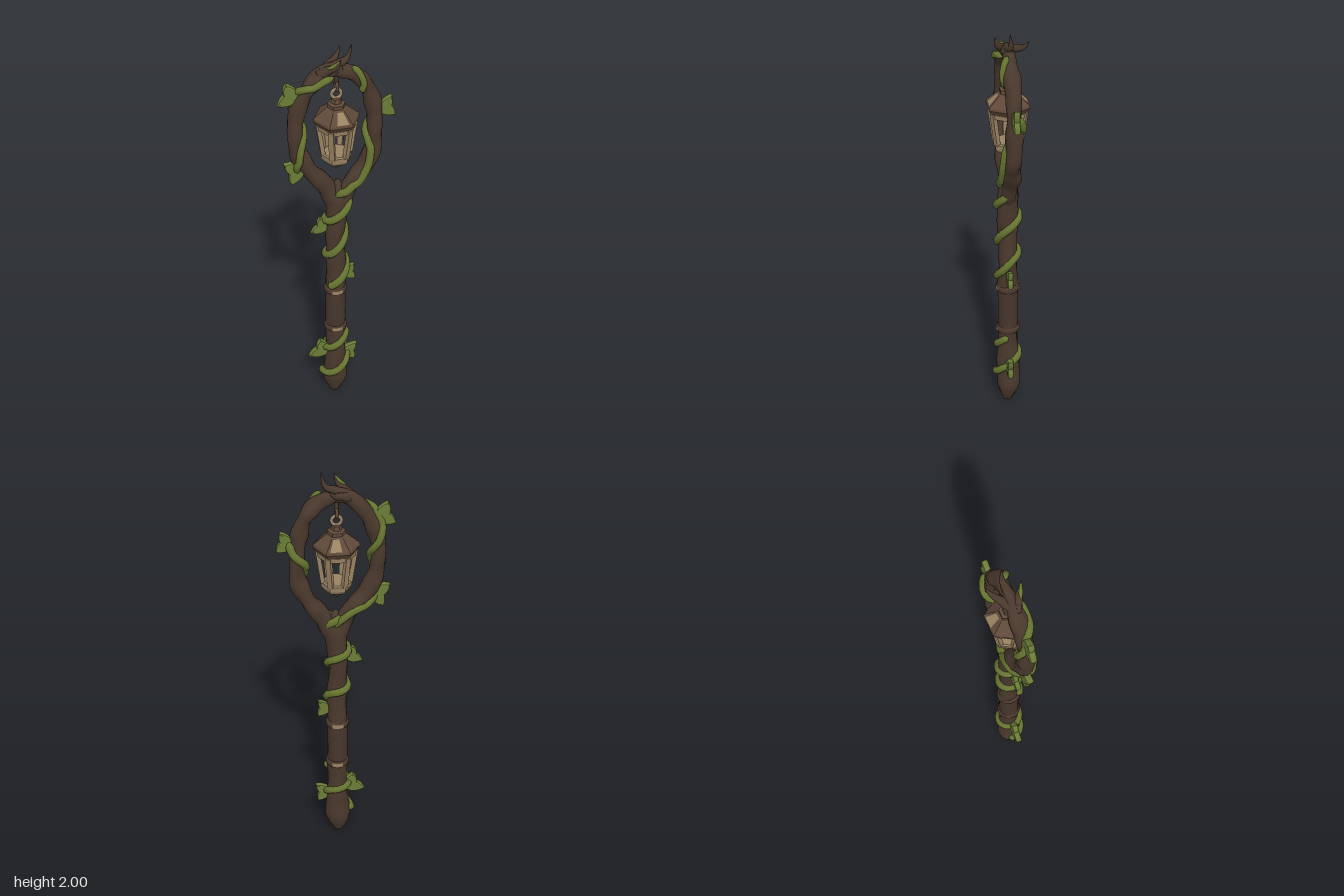
import * as THREE from 'three';

const mat = (name, color, side = THREE.FrontSide) => {
  const m = new THREE.MeshStandardMaterial({ color, side });
  m.name = name;
  return m;
};
const TURN = Math.PI * 2;

// Smooth path through knots [x, y, z, radius]
function makePath(knots) {
  const pos = new THREE.CatmullRomCurve3(knots.map(k => new THREE.Vector3(k[0], k[1], k[2])), false, 'catmullrom');
  const rad = new THREE.CatmullRomCurve3(knots.map(k => new THREE.Vector3(k[3], 0, 0)), false, 'catmullrom');
  return {
    at(t) {
      const p = pos.getPoint(t), T = pos.getTangent(t);
      const N = new THREE.Vector3().crossVectors(T, new THREE.Vector3(0, 0, 1)).normalize();
      const B = new THREE.Vector3().crossVectors(N, T);
      return { p, N, B, r: Math.max(rad.getPoint(t).x, 0.001) };
    },
  };
}

// Tapered tube along a path, with optional knotty ridges and closed ends
function sweep(path, sides, segs, knotty = 0) {
  const verts = [], index = [];
  for (let i = -1; i <= segs + 1; i++) {
    const t = Math.min(Math.max(i / segs, 0), 1);
    const { p, N, B, r } = path.at(t);
    const end = i < 0 || i > segs;
    for (let j = 0; j < sides; j++) {
      const a = (j / sides) * TURN;
      const k = end ? 0 : r * (1 + knotty * Math.sin(2 * a + t * 22) + knotty * 0.6 * Math.sin(t * 41));
      const v = p.clone().addScaledVector(N, Math.cos(a) * k).addScaledVector(B, Math.sin(a) * k);
      verts.push(v.x, v.y, v.z);
    }
  }
  for (let i = 0; i < segs + 2; i++) {
    for (let j = 0; j < sides; j++) {
      const n = (j + 1) % sides, a = i * sides + j, b = i * sides + n;
      index.push(a, a + sides, b, b, a + sides, b + sides);
    }
  }
  const g = new THREE.BufferGeometry();
  g.setAttribute('position', new THREE.Float32BufferAttribute(verts, 3));
  g.setIndex(index);
  g.computeVertexNormals();
  return g;
}

// Vine hugging a host path through stops [t, angle]; angle 0 is the front, a quarter turn is +x
function vine(host, stops, thick) {
  const knots = [];
  stops.forEach(([t, a], i) => {
    const [t1, a1] = stops[i + 1] ?? [t, a];
    const steps = i + 1 < stops.length ? Math.ceil(Math.abs(a1 - a) / 0.5) + 1 : 1;
    for (let s = 0; s < steps; s++) {
      const u = s / steps, angle = a + (a1 - a) * u;
      const { p, N, B, r } = host.at(t + (t1 - t) * u);
      p.addScaledVector(N, Math.sin(angle) * (r + 0.003)).addScaledVector(B, Math.cos(angle) * (r + 0.003));
      knots.push([p.x, p.y, p.z, thick]);
    }
  });
  knots[0][3] = knots[knots.length - 1][3] = thick * 0.4;
  return sweep(makePath(knots), 7, knots.length * 4);
}

// Stops for a helix on the shaft: steep over the front and +x side, flatter behind
function helix(frontY, pitch, a0, a1) {
  const stops = [];
  for (let a = a0; a <= a1; a += 0.4) {
    stops.push([(frontY + pitch * (a + 0.8 * Math.sin(a - Math.PI / 4) + 0.566) / TURN) / 1.3, a]);
  }
  return stops;
}

// Plump two-lobed leaf growing along +y from its base
function leafGeometry() {
  const s = new THREE.Shape();
  s.moveTo(-0.01, 0);
  s.quadraticCurveTo(-0.042, 0.015, -0.048, 0.066);
  s.quadraticCurveTo(-0.022, 0.066, 0, 0.05);
  s.quadraticCurveTo(0.02, 0.066, 0.048, 0.06);
  s.quadraticCurveTo(0.042, 0.015, 0.01, 0);
  s.closePath();
  const g = new THREE.ExtrudeGeometry(s, {
    depth: 0.01, bevelThickness: 0.012, bevelSize: 0.008, bevelSegments: 2, curveSegments: 5,
  });
  return g.translate(0, 0, -0.005);
}

// Six-sided faceted turning with corners on the x axis
function hexLathe(points) {
  const g = new THREE.LatheGeometry(points.map(p => new THREE.Vector2(p[0], p[1])), 6).rotateY(Math.PI / 6).toNonIndexed();
  g.computeVertexNormals();
  return g;
}

export function createModel() {
  const bark = mat('bark', 0x4a392d);
  const grip = mat('grip wood', 0x45362d);
  const green = mat('vine green', 0x667430);
  const leafGreen = mat('leaf green', 0x6a7c37);
  const bronze = mat('dark bronze', 0x5f4939);
  const brass = mat('worn brass', 0x998262, THREE.DoubleSide);

  const root = new THREE.Group();
  root.name = 'lanternStaff';
  const add = (name, geo, material, parent = root) => {
    const m = new THREE.Mesh(geo, material);
    m.name = name;
    parent.add(m);
    return m;
  };

  // Shaft, one knot for every 0.1 of height
  const shaft = makePath([
    [-0.015, 0, 0, 0.024], [-0.012, 0.1, -0.004, 0.06], [-0.01, 0.2, -0.002, 0.056], [-0.01, 0.3, 0, 0.05],
    [-0.01, 0.4, 0, 0.049], [-0.01, 0.5, 0, 0.045], [-0.01, 0.6, 0, 0.045], [-0.01, 0.7, 0, 0.049],
    [-0.006, 0.8, 0, 0.046], [-0.01, 0.9, 0, 0.045], [-0.014, 1.0, 0, 0.047], [-0.006, 1.1, 0, 0.049],
    [0, 1.2, 0, 0.05], [0, 1.3, 0, 0.012],
  ]);
  add('shaft', sweep(shaft, 12, 70, 0.06), bark);

  // Grip with a collar at each end
  add('grip', new THREE.CylinderGeometry(0.049, 0.049, 0.23, 14, 1, true).translate(-0.01, 0.555, 0), grip);
  for (const y of [0.435, 0.67]) {
    const ring = [[0.044, -0.024], [0.055, -0.012], [0.058, 0], [0.055, 0.012], [0.044, 0.024]];
    add('collar', new THREE.LatheGeometry(ring.map(p => new THREE.Vector2(p[0], p[1])), 14).translate(-0.01, y, 0), bark);
    for (const start of [-0.5, Math.PI - 0.5]) {
      add('collarPlate', new THREE.CylinderGeometry(0.059, 0.059, 0.022, 6, 1, true, start, 0.9).translate(-0.01, y + 0.004, 0), brass);
    }
  }

  // Two branches bending into the loop
  const leftLoop = makePath([
    [0, 1.15, 0, 0.04], [0.06, 1.27, 0, 0.043], [0.125, 1.36, 0, 0.04], [0.168, 1.46, 0, 0.038],
    [0.172, 1.57, 0, 0.036], [0.165, 1.68, 0, 0.036], [0.135, 1.78, 0, 0.036], [0.08, 1.85, 0, 0.036], [-0.01, 1.89, 0, 0.026],
  ]);
  const rightLoop = makePath([
    [0, 1.15, 0, 0.04], [-0.055, 1.28, 0, 0.043], [-0.125, 1.37, 0, 0.041], [-0.178, 1.47, 0, 0.038],
    [-0.195, 1.58, 0, 0.036], [-0.182, 1.7, 0, 0.037], [-0.135, 1.8, 0, 0.038], [-0.06, 1.875, 0, 0.036], [0.02, 1.895, 0, 0.024],
  ]);
  add('leftLoopBranch', sweep(leftLoop, 10, 48, 0.11), bark);
  add('rightLoopBranch', sweep(rightLoop, 10, 48, 0.11), bark);

  // Bare twigs at the crown, with a sprout lying on the front one
  const twigs = [
    [[-0.07, 1.875, 0, 0.03], [0, 1.91, 0, 0.022], [0.045, 1.935, -0.005, 0.013], [0.062, 1.998, 0, 0.002]],
    [[-0.07, 1.875, 0, 0.028], [-0.02, 1.9, -0.04, 0.018], [0.01, 1.915, -0.066, 0.012], [0.035, 1.95, -0.087, 0.002]],
    [[-0.08, 1.87, 0, 0.028], [-0.04, 1.905, 0.03, 0.018], [-0.015, 1.925, 0.048, 0.012], [0, 1.965, 0.06, 0.002]],
  ];
  for (const k of twigs) add('crownTwig', sweep(makePath(k), 8, 14), bark);
  add('crownSprout', sweep(makePath([[-0.05, 1.915, 0.035, 0.006], [-0.028, 1.928, 0.045, 0.01], [-0.004, 1.955, 0.056, 0.004]]), 7, 8), green);

  // Vines on the foot and the upper shaft
  const back = Math.PI;
  add('footVine', vine(shaft, helix(0.175, 0.165, -1.9, TURN + 1.6), 0.018), green);
  add('shaftVine', vine(shaft, helix(0.74, 0.195, -0.9, 2 * TURN + 4.4), 0.019), green);

  // Vines on the loop: front, inside and behind on the left; behind, front, inside and over on the right
  add('leftLoopVine', vine(leftLoop, [
    [0.04, -1.7], [0.1, -0.4], [0.18, 0.1], [0.28, -0.1], [0.38, -0.6], [0.45, -1.3], [0.5, -2.4], [0.55, -3.6], [0.61, -4.6],
  ], 0.019), green);
  add('leftCrownVine', vine(leftLoop, [[0.76, -0.9], [0.81, -0.1], [0.87, 0.5], [0.92, 1.2]], 0.015), green);
  add('rightLoopVine', vine(rightLoop, [
    [0.06, -back - 0.8], [0.2, -back + 0.2], [0.3, -back / 2], [0.36, -0.3], [0.45, 0.6], [0.51, 1.4],
    [0.59, back], [0.66, 1.5 * back - 0.4], [0.72, 1.5 * back], [0.79, TURN - 0.1], [0.92, TURN + 0.8],
  ], 0.017), green);

  // Leaves: base x, y, tilt in degrees (positive leans towards -x), size
  const leaf = leafGeometry();
  for (const [x, y, tilt, size] of [
    [-0.185, 1.775, 74, 1.0], [0.196, 1.655, -76, 0.9], [-0.165, 1.395, 108, 1.05],
    [-0.055, 1.04, 66, 0.82], [0.03, 0.75, -84, 0.78], [-0.055, 0.265, 62, 1.0], [0.03, 0.24, -92, 0.9],
  ]) {
    const m = add('leaf', leaf, leafGreen);
    m.position.set(x, y, 0);
    m.rotation.z = THREE.MathUtils.degToRad(tilt);
    m.scale.setScalar(size);
  }

  // Hanging lantern
  const lantern = new THREE.Group();
  lantern.name = 'lantern';
  lantern.position.x = -0.005;
  root.add(lantern);
  add('lanternRoof', hexLathe([
    [0, 1.612], [0.09, 1.612], [0.108, 1.638], [0.104, 1.65], [0.05, 1.695], [0.042, 1.7],
    [0.042, 1.717], [0.026, 1.722], [0.022, 1.742], [0, 1.748],
  ]), bronze, lantern);
  add('lanternUpperRim', hexLathe([[0.076, 1.592], [0.091, 1.592], [0.094, 1.614], [0.078, 1.614], [0.076, 1.592]]), brass, lantern);
  add('lanternBase', hexLathe([
    [0, 1.418], [0.06, 1.418], [0.07, 1.432], [0.072, 1.456], [0.064, 1.462], [0, 1.462],
  ]), brass, lantern);
  add('lanternFinial', hexLathe([[0, 1.372], [0.014, 1.382], [0.03, 1.4], [0.058, 1.415], [0.06, 1.42], [0, 1.42]]), bronze, lantern);
  for (let i = 0; i < 6; i++) {
    const a = (i / 6) * TURN;
    const foot = new THREE.Vector3(Math.cos(a) * 0.062, 1.455, Math.sin(a) * 0.062);
    const head = new THREE.Vector3(Math.cos(a) * 0.085, 1.615, Math.sin(a) * 0.085);
    const post = add('lanternPost', new THREE.BoxGeometry(0.02, foot.distanceTo(head), 0.025), brass, lantern);
    post.position.copy(foot).lerp(head, 0.5);
    // Yaw to the corner, then lean outward
    post.rotation.set(0, -a, -Math.atan2(0.023, 0.16), 'YXZ');
  }

  // Worn patches on the front and back roof panels
  const patch = new THREE.BufferGeometry();
  patch.setAttribute('position', new THREE.Float32BufferAttribute([
    -0.018, 1.653, 0.0905, 0.036, 1.653, 0.0905, 0.018, 1.694, 0.0475, -0.008, 1.694, 0.0475,
  ], 3));
  patch.setIndex([0, 1, 2, 0, 2, 3]);
  patch.computeVertexNormals();
  for (const side of [1, -1]) add('roofPatch', patch, brass, lantern).scale.z = side;

  // Ring and links up to the loop
  add('lanternRing', new THREE.TorusGeometry(0.022, 0.008, 8, 18).translate(0, 1.765, 0), brass, lantern);
  add('hangerLink', new THREE.TorusGeometry(0.02, 0.007, 8, 16).rotateY(Math.PI / 2).translate(0, 1.803, 0), bronze, lantern);
  add('hangerHook', new THREE.CylinderGeometry(0.012, 0.009, 0.06, 8).translate(0, 1.845, 0), bark, lantern);

  return root;
}
